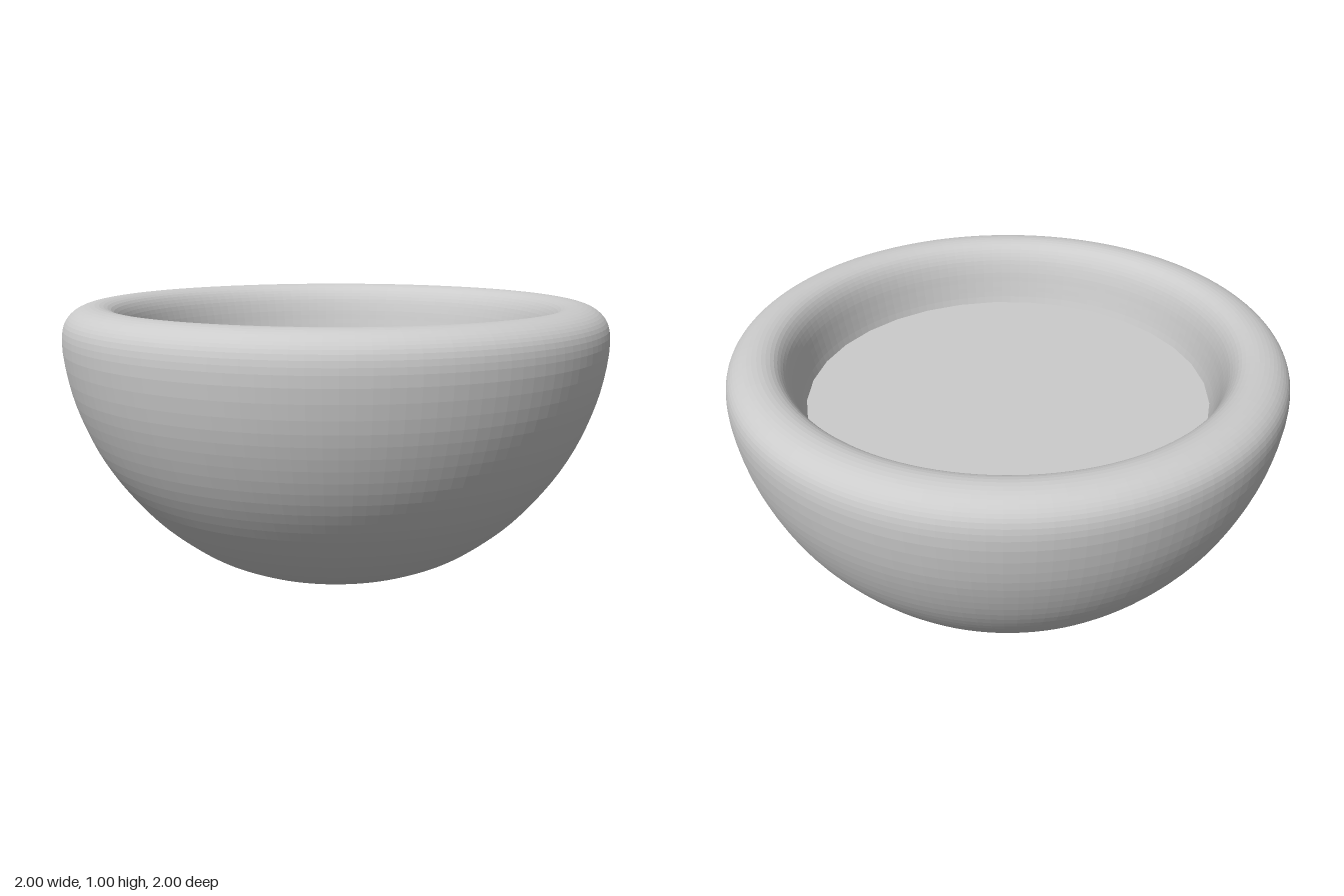
import * as THREE from 'three';

const grey = (options) => new THREE.MeshStandardMaterial({ color: 0xcccccc, ...options });

// Smooth curve through [radius, height] pairs
function smoothProfile(pairs, count) {
  const curve = new THREE.CatmullRomCurve3(
    pairs.map(([r, y]) => new THREE.Vector3(r, y, 0)), false, 'centripetal');
  return curve.getPoints(count).map((p) => new THREE.Vector2(Math.max(p.x, 0), Math.max(p.y, 0)));
}

export function createModel() {
  const model = new THREE.Group();
  model.name = 'filledBowl';

  // Bowl wall: shallow foot, round belly, rolled rim, then the inside down to the axis
  const profile = smoothProfile([
    [0, 0], [0.2, 0.01], [0.34, 0.02], [0.4, 0.03], [0.45, 0.05], [0.52, 0.085],
    [0.6, 0.14], [0.7, 0.225], [0.8, 0.34], [0.88, 0.46], [0.94, 0.59], [0.98, 0.72],
    [1, 0.87], [0.99, 0.935], [0.965, 0.97], [0.925, 0.993], [0.87, 1],
    [0.825, 0.985], [0.795, 0.95], [0.775, 0.9], [0.76, 0.84], [0.742, 0.77],
    [0.68, 0.6], [0.56, 0.42], [0.38, 0.27], [0.2, 0.21], [0, 0.2],
  ], 84);
  const bowl = new THREE.Mesh(
    new THREE.LatheGeometry(profile, 128), grey({ flatShading: true }));
  bowl.name = 'bowl';
  model.add(bowl);

  // Flat surface of the contents
  const contents = new THREE.Mesh(
    new THREE.CircleGeometry(0.735, 32), grey({ side: THREE.DoubleSide }));
  contents.name = 'contentsSurface';
  contents.rotation.x = -Math.PI / 2;
  contents.position.y = 0.77;
  model.add(contents);

  return model;
}
